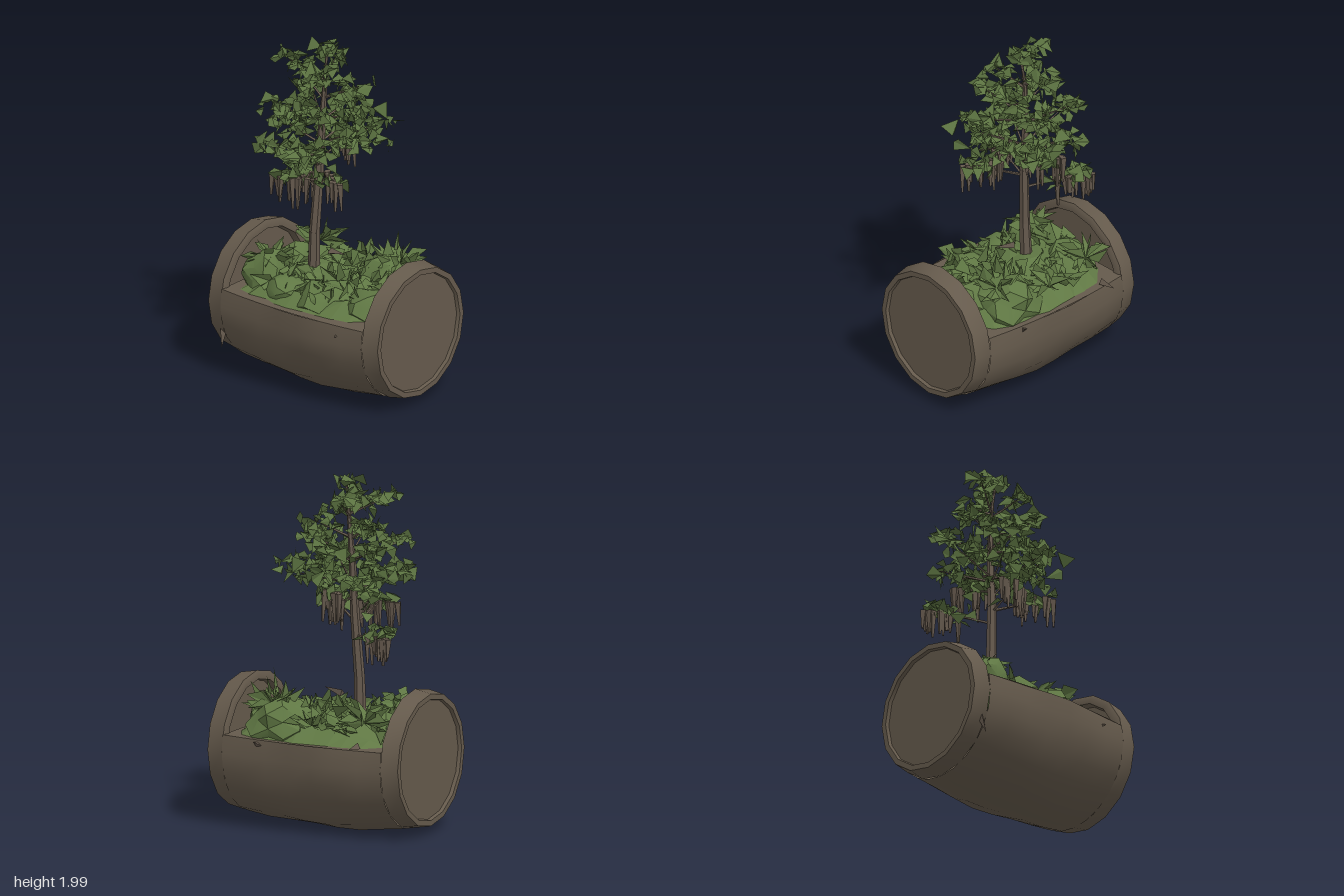
import * as THREE from 'three';
import { mergeGeometries, toCreasedNormals } from 'three/addons/utils/BufferGeometryUtils.js';

const V = (x, y, z) => new THREE.Vector3(x, y, z);
const CY = 0.435, CZ = 0.02, CUT = 0.53; // log axis and height of the opening

export function createModel() {
  let seed = 11;
  const rnd = () => (seed = (seed * 16807) % 2147483647) / 2147483647;
  const spread = (s) => (rnd() * 2 - 1) * s;

  const paint = (name, color, side = THREE.FrontSide) => {
    const m = new THREE.MeshStandardMaterial({ color, side });
    m.name = name;
    return m;
  };
  const wood = paint('wood', 0x655a4c, THREE.DoubleSide);
  const bark = paint('bark', 0x65594d);
  const moss = paint('moss', 0x607844, THREE.DoubleSide);
  const leaf = paint('leaf', 0x5c7341, THREE.DoubleSide);

  const model = new THREE.Group();
  const add = (name, geometry, material) => {
    const mesh = new THREE.Mesh(geometry, material);
    mesh.name = name;
    model.add(mesh);
    return mesh;
  };
  const flat = (g) => {
    const f = g.index ? g.toNonIndexed() : g;
    f.computeVertexNormals();
    return f;
  };
  const reshape = (g, rule) => {
    const p = g.attributes.position;
    for (let i = 0; i < p.count; i++) {
      const v = rule(p.getX(i), p.getY(i), p.getZ(i));
      p.setXYZ(i, v.x, v.y, v.z);
    }
    g.computeVertexNormals();
    return g;
  };

  // Bulging hollow log, open along the top
  const radius = (x) => 0.43 - 0.14 * x * x;
  const rimAngle = (x) => Math.asin((CUT - CY) / radius(x));
  const shell = reshape(new THREE.PlaneGeometry(1, 1, 7, 14), (x, v) => {
    const rim = rimAngle(x);
    const a = Math.PI - rim + (v + 0.5) * (Math.PI + 2 * rim);
    const r = radius(x) + 0.01 * (1 - 4 * x * x) * Math.sin(a * 5 + x * 9);
    return V(x, CY + r * Math.sin(a), CZ + r * Math.cos(a));
  });
  add('logShell', toCreasedNormals(shell, 0.6), wood);

  // Soil level inside the log
  add('soil', reshape(new THREE.PlaneGeometry(1, 1, 7, 1), (x, v) =>
    V(x, CUT, CZ - 2 * v * radius(x) * Math.cos(rimAngle(x)))), wood);

  // Round log ends with a recessed disc on both faces
  const endProfile = [[0, 0.53], [0.335, 0.53], [0.345, 0.49], [0.375, 0.49], [0.395, 0.5], [0.376, 0.6], [0.345, 0.6], [0.34, 0.58], [0, 0.58]]
    .map(([r, y]) => new THREE.Vector2(r, y));
  for (const side of [1, -1]) {
    const g = new THREE.LatheGeometry(endProfile, 16);
    g.rotateZ(-Math.PI / 2);
    if (side < 0) g.rotateY(Math.PI);
    // the upper half of the ring is a little slimmer than the bulge below
    reshape(g, (x, y, z) => V(x, y > 0 ? y * 0.98 : y, z));
    add(side > 0 ? 'leftLogEnd' : 'rightLogEnd', toCreasedNormals(g, 0.5), wood).position.set(0, CY, CZ);
  }

  // Straight tapered limb between two points
  const limb = (a, b, r0, r1, sides = 5) => {
    const d = b.clone().sub(a);
    const g = new THREE.CylinderGeometry(r1, r0, d.length(), sides, 1);
    g.applyQuaternion(new THREE.Quaternion().setFromUnitVectors(V(0, 1, 0), d.normalize()));
    const m = a.clone().add(b).multiplyScalar(0.5);
    return flat(g.translate(m.x, m.y, m.z));
  };

  // Splinters on the bark and a twig lying on the plants
  add('splinters', mergeGeometries([
    [-0.35, 0.55, -0.36, 0, 0, -0.1], [0.26, 0.5, -0.38, 0.02, 0.02, -0.03],
    [0.32, 0.47, 0.39, 0.02, 0, 0.06], [-0.52, 0.28, 0.36, 0.01, -0.1, 0.03], [-0.04, 0.75, 0.02, 0.12, 0.02, 0.02],
  ].map(([x, y, z, dx, dy, dz]) => limb(V(x, y, z), V(x + dx, y + dy, z + dz), 0.022, 0.001, 3))), bark);

  // Moss bed: an uneven rounded mat
  const bed = reshape(new THREE.PlaneGeometry(2, 2, 9, 7), (u, v) => {
    const x = u * 0.49 * Math.sqrt(1 - 0.25 * v * v);
    const z = 0.01 - v * 0.38 * Math.sqrt(1 - 0.25 * u * u);
    const dome = (1 - u ** 4) * (1 - v ** 4);
    return V(x + spread(0.015), 0.525 + dome * (0.08 + rnd() * 0.06), z + spread(0.015));
  });
  add('mossBed', flat(bed), moss);

  // Moss mounds
  const mounds = [
    [-0.35, 0.59, 0.2, 0.13, 0.15], [-0.37, 0.58, -0.08, 0.11, 0.11], [0.22, 0.59, -0.2, 0.18, 0.14],
    [0.35, 0.57, 0.16, 0.14, 0.1], [0.08, 0.57, 0.23, 0.15, 0.09], [-0.15, 0.57, 0.25, 0.12, 0.08], [0.36, 0.58, -0.06, 0.12, 0.13],
  ].map(([x, y, z, r, h]) => {
    const g = new THREE.IcosahedronGeometry(1, 1);
    reshape(g, (a, b, c) => {
      const k = 1 + 0.15 * Math.sin(a * 7 + x * 20) * Math.cos(c * 6 + b * 4);
      return V(x + a * r * k, y + b * h * k, z + c * r * k);
    });
    return toCreasedNormals(g, 0.55);
  });
  add('mossMounds', mergeGeometries(mounds), moss);

  // Folded diamond blade: two triangles along a direction
  const blade = (out, p, dir, length, width) => {
    const d = dir.clone().normalize();
    const s = V(spread(1), spread(0.4), spread(1)).cross(d).normalize().multiplyScalar(width / 2);
    const lift = V(spread(0.4), spread(0.4), spread(0.4)).multiplyScalar(width);
    const tip = p.clone().addScaledVector(d, length);
    const mid = p.clone().addScaledVector(d, length * (0.3 + rnd() * 0.4));
    const l = mid.clone().add(s).add(lift), r = mid.sub(s).add(lift);
    for (const q of [p, l, tip, p, tip, r]) out.push(q.x, q.y, q.z);
  };
  const foliage = (points) => {
    const g = new THREE.BufferGeometry();
    g.setAttribute('position', new THREE.Float32BufferAttribute(points, 3));
    return flat(g);
  };

  // Low plants over the moss
  const ground = [];
  for (let i = 0; i < 130; i++) {
    const a = rnd() * Math.PI * 2, r = Math.sqrt(rnd());
    const p = V(Math.cos(a) * r * 0.4 - 0.04, 0.6 + 0.05 * (1 - r), 0.01 + Math.sin(a) * r * 0.33);
    blade(ground, p, V(spread(1) + Math.cos(a) * 0.4, 0.1 + rnd() * 0.5, spread(1) + Math.sin(a) * 0.4), 0.07 + rnd() * 0.07, 0.05 + rnd() * 0.05);
  }
  add('groundPlants', foliage(ground), moss);

  // Spiky ferns: arching blades around a centre
  const ferns = [];
  for (const [x, y, z, size, n] of [[0.28, 0.69, -0.19, 0.17, 18], [-0.33, 0.66, -0.25, 0.16, 15], [-0.33, 0.69, 0.18, 0.14, 14], [-0.02, 0.62, -0.29, 0.16, 11], [0.38, 0.64, 0.08, 0.12, 8]]) {
    for (let i = 0; i < n; i++) {
      const a = (i * 2.4) + spread(0.3);
      blade(ferns, V(x, y, z), V(Math.cos(a), rnd() * 0.9, Math.sin(a)), size * (0.75 + rnd() * 0.5), 0.06);
    }
  }
  for (const [x, y, z, dx, dz] of [[0.28, 0.78, -0.17, 0, -0.1], [0.24, 0.72, -0.2, -0.3, 0.2], [0.32, 0.72, -0.16, 0.2, 0.1]]) {
    blade(ferns, V(x, y, z), V(dx, 1, dz), 0.12, 0.08);
  }
  add('ferns', foliage(ferns), moss);

  // Trunk
  const spine = [[-0.15, 0.55, 0.03], [-0.14, 0.85, 0.035], [-0.12, 1.2, 0.02], [-0.115, 1.5, 0], [-0.1, 1.75, -0.01], [-0.08, 1.94, 0]].map((p) => V(...p));
  const girth = [0.036, 0.03, 0.026, 0.02, 0.012, 0.004];
  const limbs = [];
  for (let i = 0; i < 5; i++) limbs.push(limb(spine[i], spine[i + 1], girth[i], girth[i + 1], 6));
  const trunkAt = (y) => {
    let i = 0;
    while (i < 4 && spine[i + 1].y < y) i++;
    return spine[i].clone().lerp(spine[i + 1], (y - spine[i].y) / (spine[i + 1].y - spine[i].y));
  };

  // Boughs: x, y, z of the leaf cluster, its spread, number of leaves
  const boughs = [
    [-0.07, 1.94, 0, 0.07, 14], [-0.27, 1.86, 0.1, 0.08, 22], [-0.03, 1.83, 0.14, 0.08, 20], [-0.13, 1.85, -0.15, 0.08, 19],
    [-0.24, 1.72, -0.02, 0.09, 22], [0.08, 1.73, -0.08, 0.09, 22], [-0.3, 1.6, 0.18, 0.09, 24], [0.15, 1.61, 0.05, 0.1, 26],
    [-0.05, 1.64, 0.28, 0.09, 23], [-0.05, 1.6, -0.23, 0.1, 23], [-0.31, 1.6, -0.15, 0.09, 21], [-0.41, 1.46, 0.03, 0.1, 27],
    [0.24, 1.46, 0.02, 0.1, 27], [0.1, 1.45, 0.24, 0.09, 22], [-0.25, 1.42, 0.27, 0.1, 24], [-0.06, 1.4, 0.31, 0.09, 18],
    [0.1, 1.46, -0.23, 0.09, 22], [-0.1, 1.47, -0.32, 0.09, 21], [-0.29, 1.43, -0.22, 0.09, 22], [-0.09, 1.33, 0.12, 0.09, 18],
    [-0.08, 1.37, -0.2, 0.08, 16], [0.12, 1.25, 0.18, 0.08, 17], [-0.15, 1.24, 0.26, 0.07, 13], [-0.39, 1.13, -0.14, 0.09, 22],
  ];
  const leaves = [];
  for (const [x, y, z, s, n] of boughs) {
    const end = V(x, y, z), start = trunkAt(Math.max(y - 0.09, 1.08));
    limbs.push(limb(start, end, 0.009, 0.003, 4));
    for (let i = 0; i < n; i++) {
      const c = start.clone().lerp(end, 1.05 - 0.6 * rnd() ** 1.5);
      c.add(V(spread(s * 0.8), spread(s * 0.35) + 0.01, spread(s * 0.8)));
      const d = V(spread(1), spread(0.5), spread(1)).normalize();
      const length = 0.06 + rnd() * 0.05;
      blade(leaves, c.addScaledVector(d, -length / 2), d, length, 0.05 + rnd() * 0.04);
    }
  }
  add('trunkAndBranches', mergeGeometries(limbs), bark);
  add('treeLeaves', foliage(leaves), leaf);

  // Hanging strands beneath the lower boughs
  const strands = [];
  for (const [x0, z0, x1, z1, top, n] of [[-0.45, -0.2, -0.28, -0.08, 1.13, 12], [-0.02, 0.08, 0.17, 0.22, 1.26, 11], [-0.25, 0.28, -0.06, 0.2, 1.24, 9], [-0.17, -0.24, 0, -0.13, 1.37, 10]]) {
    for (let i = 0; i < n; i++) {
      const t = i / (n - 1);
      const x = x0 + (x1 - x0) * t + spread(0.02), z = z0 + (z1 - z0) * t + spread(0.03);
      strands.push(limb(V(x, top, z), V(x + spread(0.008), top - 0.1 - rnd() * 0.09, z + spread(0.008)), 0.021, 0.007, 4));
    }
  }
  add('hangingStrands', mergeGeometries(strands), bark);

  return model;
}
